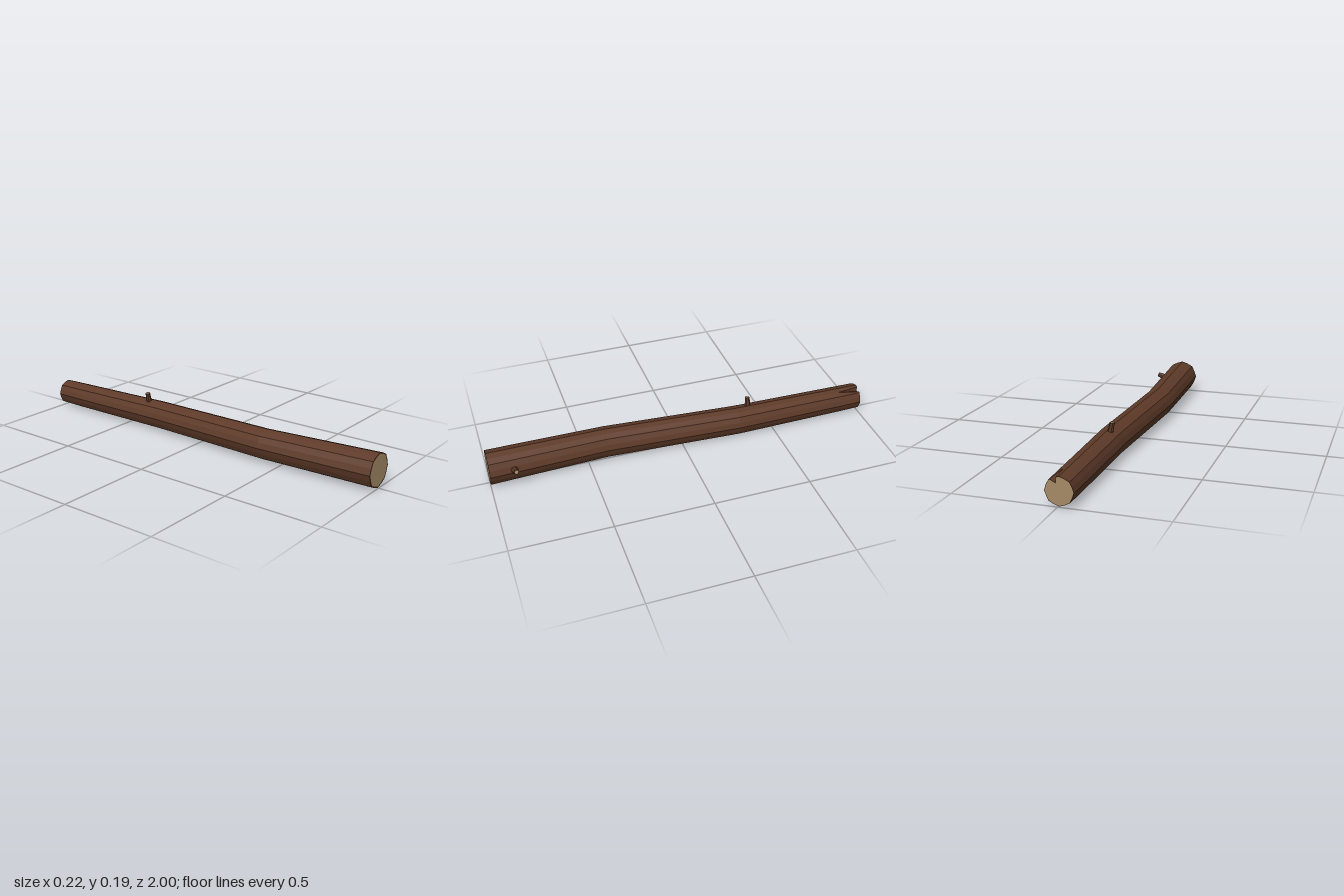
import * as THREE from 'three';

const SIDES = 16, NOTCH = 3; // NOTCH: side index where the crack opens
const bark = new THREE.MeshStandardMaterial({ color: 0x5e3a28, flatShading: true });
const wood = new THREE.MeshStandardMaterial({ color: 0xa58a66, flatShading: true });

// Stations along the log: z, centre x, centre y, radius
const stations = [
  [1, -0.008, 0.093, 0.087],
  [0.4, -0.032, 0.085, 0.079],
  [-0.3, -0.001, 0.077, 0.075],
  [-0.88, -0.007, 0.073, 0.069],
  [-1, -0.008, 0.073, 0.067],
];

// Slightly squared-off ring; the notch side is split into three points
function ring([z, cx, cy, r], open) {
  const at = (i, k = 1) => {
    const a = (i / SIDES) * Math.PI * 2, q = r * k * (i % 2 ? 0.955 : 1);
    return new THREE.Vector3(cx + q * Math.cos(a), cy + q * Math.sin(a), z);
  };
  const pts = [];
  for (let i = 0; i < SIDES; i++) {
    if (i !== NOTCH) pts.push(at(i));
    else pts.push(
      at(i).lerp(at(i - 1), open ? 0.75 : 0),
      at(i, open ? 0.6 : 1),
      at(i).lerp(at(i + 1), open ? 0.45 : 0));
  }
  return pts;
}

// Skin between successive rings, skipping collapsed triangles
function skin(rings) {
  const pos = [], t = new THREE.Triangle();
  const tri = (a, b, c) => {
    if (t.set(a, b, c).getArea() > 1e-9) for (const p of [a, b, c]) pos.push(p.x, p.y, p.z);
  };
  for (let j = 0; j + 1 < rings.length; j++) {
    const A = rings[j], B = rings[j + 1], n = A.length;
    for (let i = 0; i < n; i++) {
      const k = (i + 1) % n;
      tri(A[i], B[k], A[k]);
      tri(A[i], B[i], B[k]);
    }
  }
  const g = new THREE.BufferGeometry();
  g.setAttribute('position', new THREE.Float32BufferAttribute(pos, 3));
  g.computeVertexNormals();
  return g;
}

function inset(pts, [z, cx, cy], s) {
  const c = new THREE.Vector3(cx, cy, z);
  return pts.map(p => p.clone().sub(c).multiplyScalar(s).add(c));
}

// Flat sawn face filling a ring; facing is +1 for front, -1 for back
function sawnFace(name, pts, facing) {
  const g = new THREE.ShapeGeometry(new THREE.Shape(pts.map(p => new THREE.Vector2(facing * p.x, p.y))));
  if (facing < 0) g.rotateY(Math.PI);
  g.translate(0, 0, pts[0].z);
  const m = new THREE.Mesh(g, wood);
  m.name = name;
  return m;
}

// Tapered cut branch with a pale end
function stub(name, from, to, r0, r1) {
  const a = new THREE.Vector3(...from), d = new THREE.Vector3(...to).sub(a), len = d.length();
  const group = new THREE.Group();
  group.name = name;
  const side = new THREE.Mesh(new THREE.CylinderGeometry(r1, r0, len, 7), bark);
  side.name = name + 'Bark';
  side.position.y = len / 2;
  const end = new THREE.Mesh(new THREE.CircleGeometry(r1 * 0.7, 7).rotateX(-Math.PI / 2), wood);
  end.name = name + 'End';
  end.position.y = len + 0.0008;
  group.add(side, end);
  group.position.copy(a);
  group.quaternion.setFromUnitVectors(new THREE.Vector3(0, 1, 0), d.normalize());
  return group;
}

export function createModel() {
  const model = new THREE.Group();
  model.name = 'log';

  const last = stations.length - 1;
  const rings = stations.map((s, i) => ring(s, i === last));
  const frontRim = inset(rings[0], stations[0], 0.92);
  const backRim = inset(rings[last], stations[last], 0.97);

  // Bark with its end rims
  const trunk = new THREE.Mesh(skin([frontRim, ...rings, backRim]), bark);
  trunk.name = 'bark';
  model.add(trunk);

  // Sawn ends (front: drop the duplicate points of the closed notch)
  const frontFace = frontRim.filter((p, i) => i !== NOTCH && i !== NOTCH + 1);
  model.add(sawnFace('frontCut', frontFace, 1));
  model.add(sawnFace('backCut', backRim.slice().reverse(), -1));

  // Branch stubs
  model.add(stub('sideStub', [0.055, 0.1, 0.88], [0.108, 0.121, 0.875], 0.02, 0.0125));
  model.add(stub('topStub', [-0.014, 0.135, -0.37], [-0.026, 0.19, -0.37], 0.015, 0.0125));
  return model;
}
